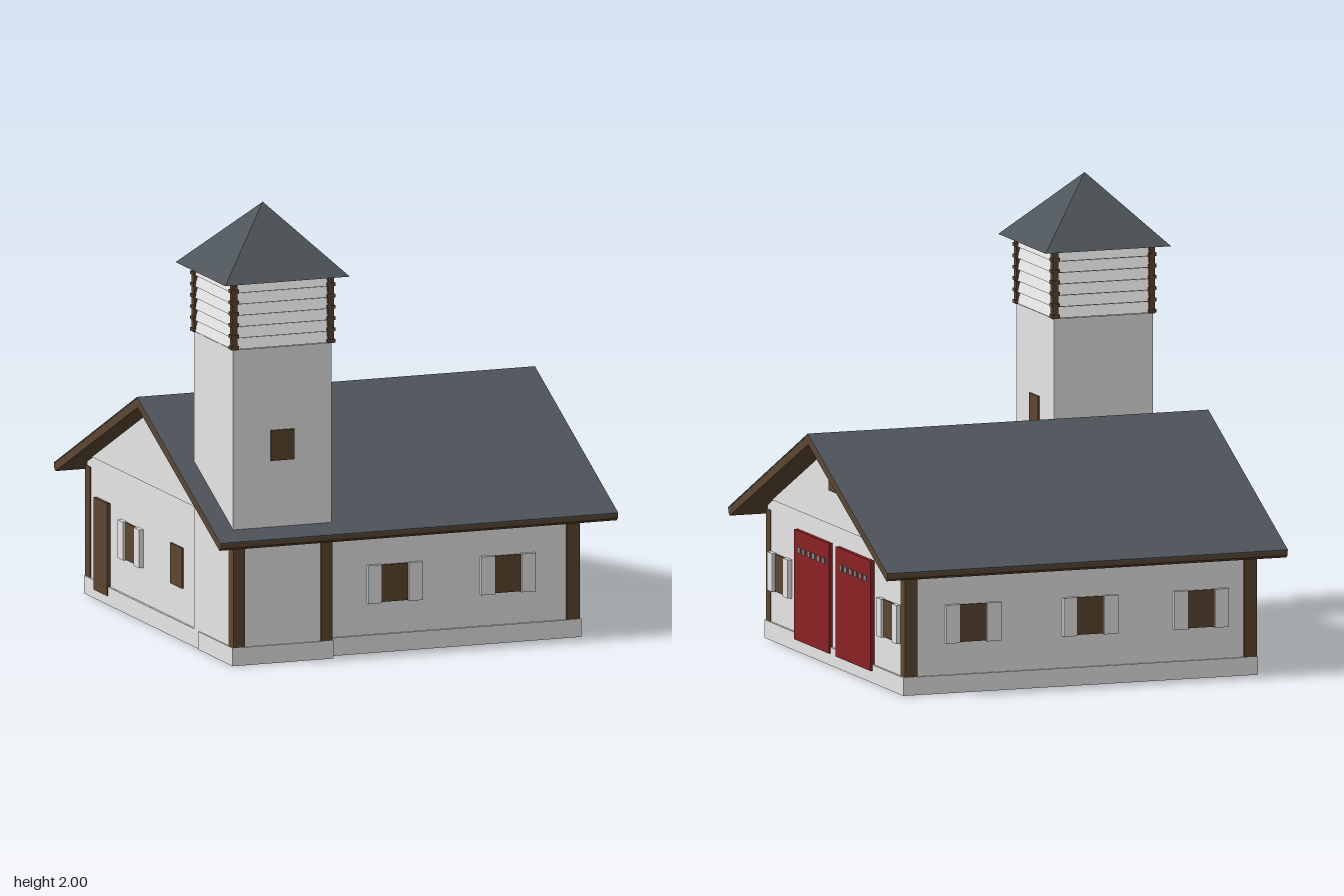
import * as THREE from 'three';

const mat = (name, color) => {
  const m = new THREE.MeshStandardMaterial({ color });
  m.name = name;
  return m;
};

export function createModel() {
  const white = mat('white plaster', 0xe6e6e6);
  const slate = mat('slate roof', 0x4e555a);
  const brown = mat('brown timber', 0x5c4630);
  const red = mat('red doors', 0x8a2224);
  const glass = mat('grey glass', 0x7f868a);

  const model = new THREE.Group();
  model.name = 'fireStation';

  const add = (name, geo, m, x = 0, y = 0, z = 0) => {
    const mesh = new THREE.Mesh(geo, m);
    mesh.name = name;
    mesh.position.set(x, y, z);
    model.add(mesh);
    return mesh;
  };
  // box given by its min and max on each axis
  const block = (name, m, x0, x1, y0, y1, z0, z1) =>
    add(name, new THREE.BoxGeometry(x1 - x0, y1 - y0, z1 - z0), m,
      (x0 + x1) / 2, (y0 + y1) / 2, (z0 + z1) / 2);
  // (z, y) outline extruded along x
  const prism = (name, m, pts, x0, x1) => {
    const shape = new THREE.Shape(pts.map(([z, y]) => new THREE.Vector2(-z, y)));
    const geo = new THREE.ExtrudeGeometry(shape, { depth: x1 - x0, bevelEnabled: false });
    geo.rotateY(Math.PI / 2);
    return add(name, geo, m, x0, 0, 0);
  };
  // flat panel on a wall: axis 'x' or 'z', wall position, outward sign
  const panel = (name, m, axis, at, sign, u, y, w, h, d) => {
    const a = Math.min(at, at + sign * d), b = Math.max(at, at + sign * d);
    return axis === 'x'
      ? block(name, m, a, b, y - h / 2, y + h / 2, u - w / 2, u + w / 2)
      : block(name, m, u - w / 2, u + w / 2, y - h / 2, y + h / 2, a, b);
  };

  // main hall
  const roofY = z => 1.035 - 0.48 * Math.abs(z);
  const X0 = -0.83, X1 = 0.8, Z = 0.845;
  prism('hallWalls', white, [[-Z, 0], [Z, 0], [Z, roofY(Z) - 0.04], [0, 0.995], [-Z, roofY(Z) - 0.04]], X0, X1);
  block('plinth', white, X0 - 0.01, X1 + 0.01, 0, 0.08, -Z - 0.01, Z + 0.01);

  // gable boarding above the eaves line
  const gable = [[-0.78, 0.62], [0.78, 0.62], [0, 0.99]];
  prism('gableBoardingRight', white, gable, X1, X1 + 0.006);
  prism('gableBoardingLeft', white, gable, X0 - 0.006, X0);

  // roof: timber deck with slate on top
  const E = 0.98;
  prism('roofDeck', brown, [[-E, roofY(E) - 0.025], [-E + 0.015, roofY(E) - 0.036], [0, 0.987],
    [E - 0.015, roofY(E) - 0.036], [E, roofY(E) - 0.025], [E, roofY(E) - 0.006], [0, 1.029], [-E, roofY(E) - 0.006]], -0.93, 0.93);
  prism('roofSlates', slate, [[-E, roofY(E) - 0.006], [0, 1.029], [E, roofY(E) - 0.006],
    [E, roofY(E)], [0, 1.035], [-E, roofY(E)]], -0.932, 0.932);

  // tower shaft
  const tx = -0.61, tz = 0.67, th = 0.23;
  block('towerShaft', white, tx - th, tx + th, 0, 1.4, tz - th, tz + th);
  block('towerPlinth', white, tx - th - 0.006, tx + th + 0.006, 0, 0.08, 0.5, tz + th + 0.008);

  // louvred belfry: timber core, sloping slats, corner posts
  block('belfryCore', brown, tx - 0.217, tx + 0.217, 1.4, 1.7, tz - 0.217, tz + 0.217);
  for (let i = 0; i < 6; i++) {
    const slat = new THREE.CylinderGeometry(0.22 * Math.SQRT2, 0.234 * Math.SQRT2, 0.046, 4).toNonIndexed();
    slat.rotateY(Math.PI / 4);
    slat.computeVertexNormals();
    add('belfrySlat', slat, white, tx, 1.426 + i * 0.05, tz);
  }
  for (const sx of [-1, 1]) for (const sz of [-1, 1]) {
    const px = tx + sx * 0.225, pz = tz + sz * 0.225;
    block('belfryPost', brown, px - 0.013, px + 0.013, 1.4, 1.7, pz - 0.013, pz + 0.013);
    for (let i = 0; i < 6; i++)
      block('slatEnd', brown, px - 0.018, px + 0.018, 1.403 + i * 0.05, 1.418 + i * 0.05, pz - 0.018, pz + 0.018);
  }

  // tower roof
  const cap = new THREE.ConeGeometry(0.292 * Math.SQRT2, 0.3, 4).toNonIndexed();
  cap.rotateY(Math.PI / 4);
  cap.computeVertexNormals();
  add('towerRoof', cap, slate, tx, 1.85, tz);

  // timber posts on the front and back walls
  for (const x of [-0.815, -0.405]) block('towerPost', brown, x - 0.027, x + 0.027, 0.08, 0.57, 0.85, 0.908);
  block('frontPost', brown, 0.74, 0.802, 0.08, 0.57, 0.8, 0.857);
  for (const x of [-0.805, 0.773]) block('backPost', brown, x - 0.029, x + 0.029, 0.08, 0.57, -0.857, -0.8);

  // windows with open shutters
  const shuttered = (axis, at, sign, u, y = 0.305) => {
    panel('window', brown, axis, at, sign, u, y, 0.125, 0.165, 0.008);
    for (const s of [-1, 1])
      panel('shutter', white, axis, at, sign, u + s * 0.095, y, 0.064, 0.17, 0.02);
  };
  for (const x of [-0.065, 0.465]) shuttered('z', Z, 1, x);
  for (const x of [0.485, -0.06, -0.575]) shuttered('z', -Z, -1, x);
  for (const z of [0.67, -0.67]) shuttered('x', X1, 1, z);
  shuttered('x', X0, -1, -0.31, 0.32);
  panel('plainWindow', brown, 'x', X0, -1, 0.22, 0.32, 0.14, 0.18, 0.008);
  panel('gableWindow', brown, 'x', X1 + 0.006, 1, 0, 0.835, 0.115, 0.13, 0.008);
  panel('towerWindow', brown, 'z', tz + th, 1, tx, 0.965, 0.11, 0.135, 0.008);
  panel('towerWindow', brown, 'x', tx + th, 1, tz, 0.965, 0.11, 0.135, 0.008);

  // side door
  panel('sideDoor', brown, 'x', X0, -1, -0.65, 0.245, 0.16, 0.41, 0.015);

  // garage doors with a row of small panes
  for (const s of [-1, 1]) {
    panel('garageDoor', red, 'x', X1, 1, s * 0.257, 0.295, 0.43, 0.485, 0.018);
    for (let i = 0; i < 6; i++)
      panel('doorPane', glass, 'x', X1 + 0.018, 1, s * 0.257 + (i - 2.5) * 0.06, 0.453, 0.034, 0.026, 0.003);
  }

  return model;
}
